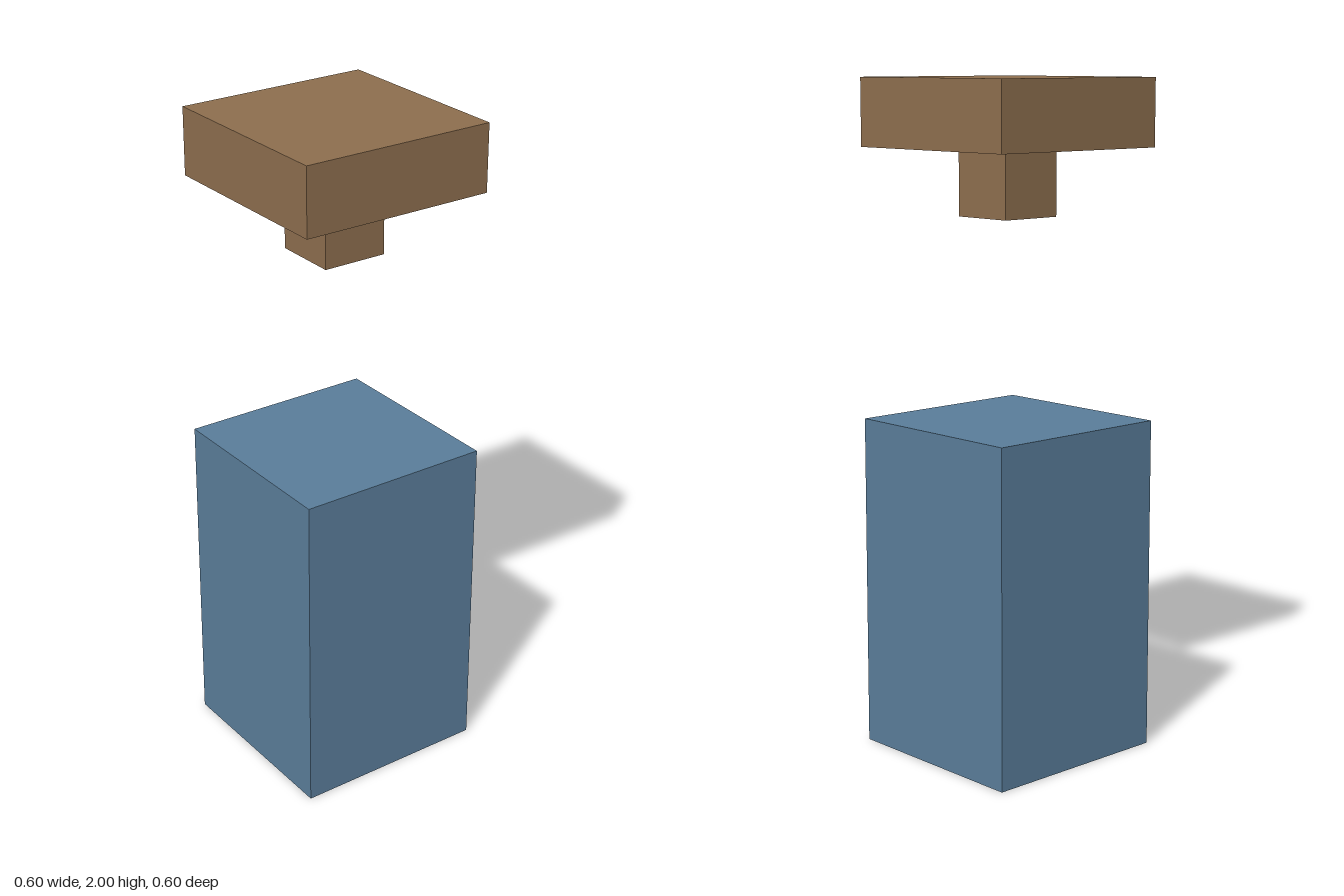
import * as THREE from 'three';

export function createModel() {
  const model = new THREE.Group();
  model.name = 'pedestalAndHammer';

  const blue = new THREE.MeshStandardMaterial({ color: 0x5a7d9a });
  blue.name = 'slate blue';
  const brown = new THREE.MeshStandardMaterial({ color: 0x8d6e4e });
  brown.name = 'wood brown';

  // Square block centred on the vertical axis, spanning two heights
  function block(name, width, bottom, top, material) {
    const mesh = new THREE.Mesh(new THREE.BoxGeometry(width, top - bottom, width), material);
    mesh.name = name;
    mesh.position.y = (bottom + top) / 2;
    return mesh;
  }

  // Standing base
  model.add(block('base', 0.6, 0, 1, blue));

  // Floating cap with its peg pointing down at the base
  const cap = new THREE.Group();
  cap.name = 'cap';
  cap.add(block('capPeg', 0.2, 1.6, 1.8, brown));
  cap.add(block('capSlab', 0.6, 1.8, 2, brown));
  model.add(cap);

  return model;
}
